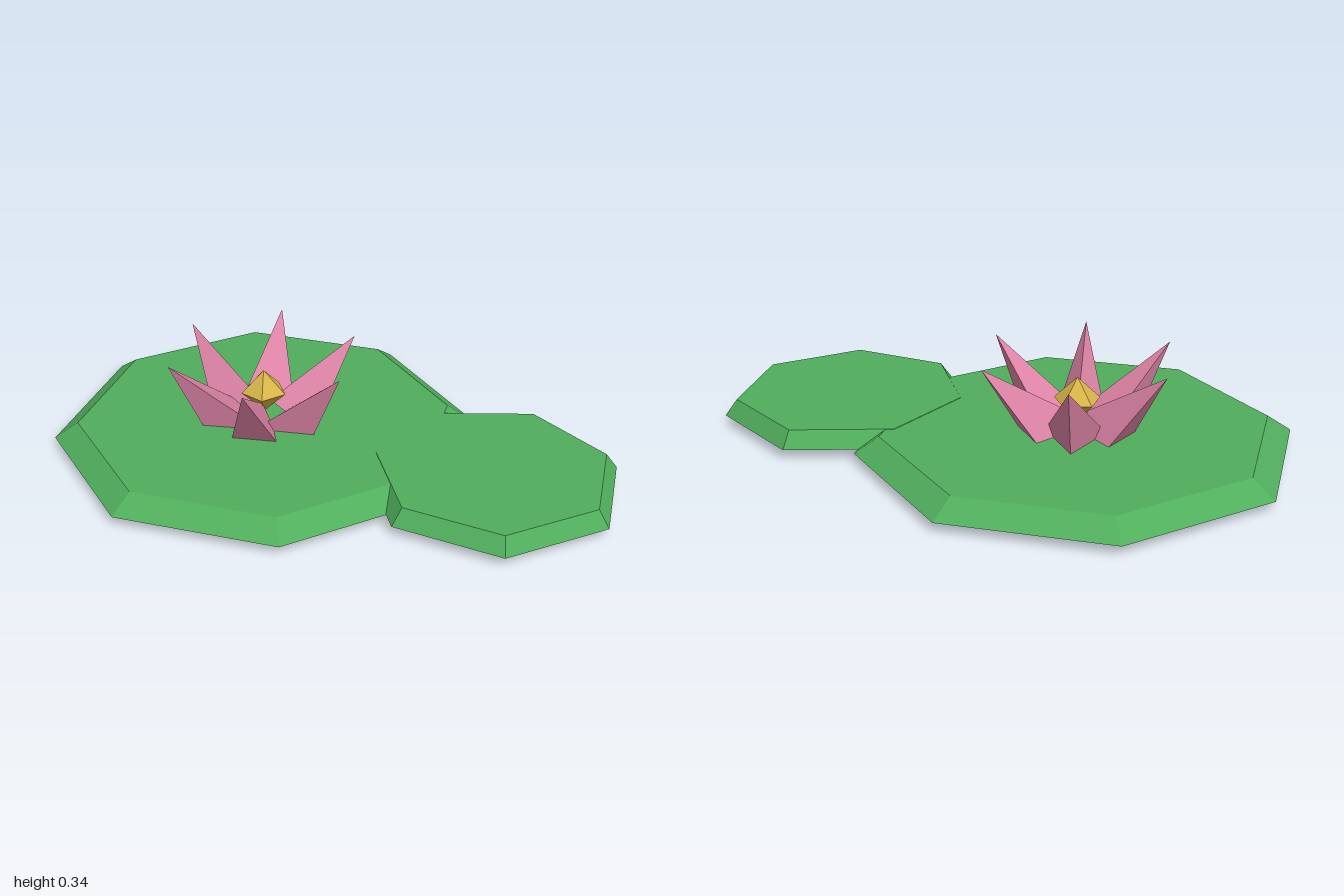
import * as THREE from 'three';

export function createModel() {
  const model = new THREE.Group();
  model.name = 'waterLily';

  const paint = (name, color) => {
    const m = new THREE.MeshStandardMaterial({ color, flatShading: true });
    m.name = name;
    return m;
  };
  const leafGreen = paint('leafGreen', 0x50ae5c);
  const petalPink = paint('petalPink', 0xde84a6);
  const pollenYellow = paint('pollenYellow', 0xd8b548);

  const add = (name, geometry, material, x, y, z, parent = model) => {
    const mesh = new THREE.Mesh(geometry, material);
    mesh.name = name;
    mesh.position.set(x, y, z);
    parent.add(mesh);
    return mesh;
  };

  // Floating pads: bevelled slabs, the small one lying a hair higher
  const largePad = new THREE.CylinderGeometry(0.655, 0.738, 0.056, 8);
  add('largePad', largePad, leafGreen, -0.262, 0.062, 0);
  const smallPad = new THREE.CylinderGeometry(0.398, 0.44, 0.056, 7);
  smallPad.rotateY(Math.PI / 2);
  add('smallPad', smallPad, leafGreen, 0.56, 0.0635, -0.217);

  // Flower
  const flower = new THREE.Group();
  flower.name = 'flower';
  flower.position.x = -0.262;
  model.add(flower);

  // Petals: three-sided spikes that lean outward without turning,
  // so ridge and flat face alternate around the ring
  const length = 0.357;
  const petal = new THREE.ConeGeometry(0.109, length, 3);
  petal.rotateY(Math.PI / 2);
  petal.translate(0, length / 2, 0);
  for (let i = 0; i < 6; i++) {
    const a = (i * Math.PI) / 3;
    const mesh = add('petal', petal, petalPink, Math.cos(a) * 0.104, 0.072, Math.sin(a) * 0.104, flower);
    mesh.quaternion.setFromAxisAngle(new THREE.Vector3(Math.sin(a), 0, -Math.cos(a)), 0.72);
  }

  // Five-sided faceted centre
  const heart = new THREE.SphereGeometry(0.08, 5, 2);
  heart.rotateY(-Math.PI / 2);
  add('flowerCentre', heart, pollenYellow, 0, 0.185, 0, flower);

  return model;
}
